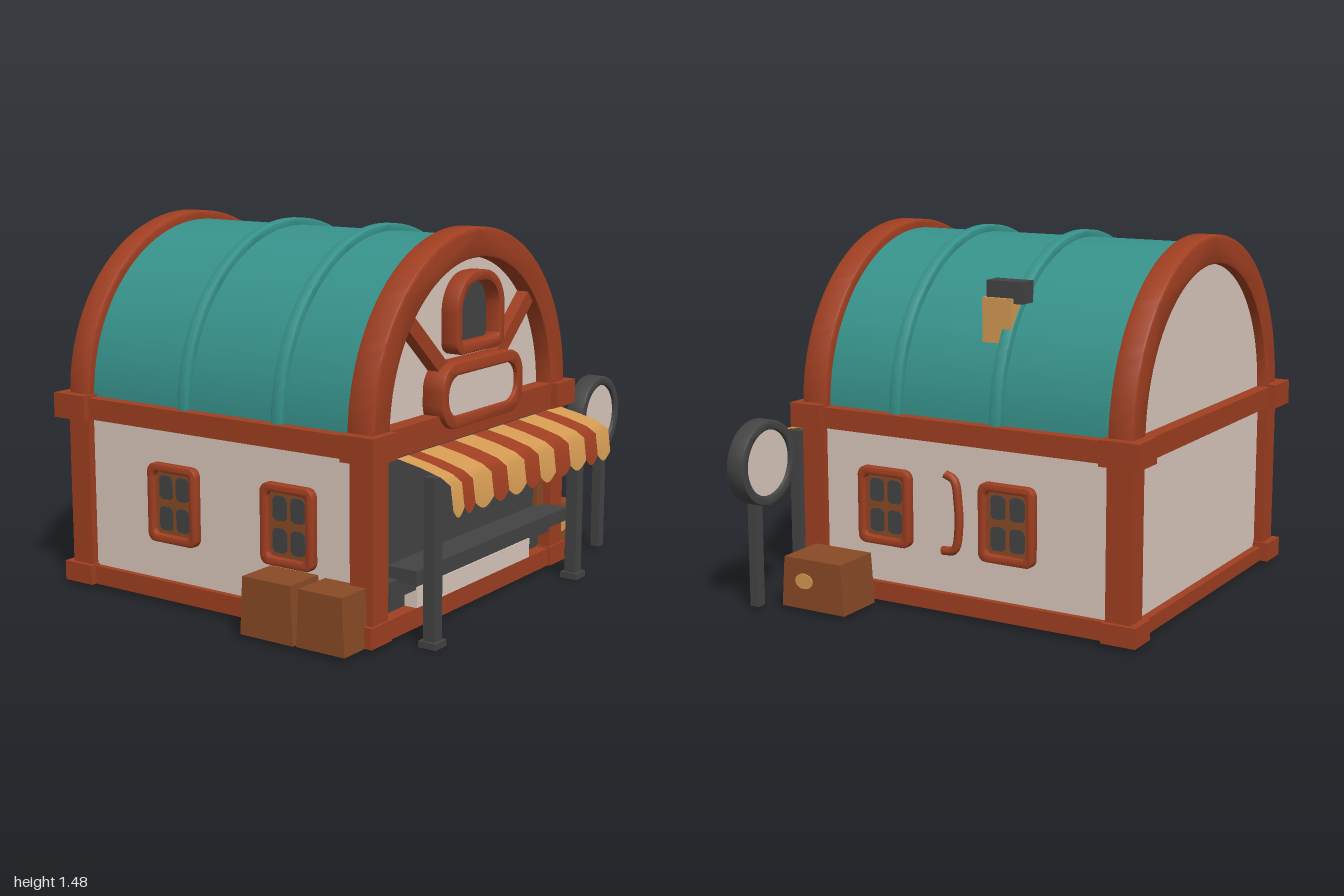
import * as THREE from 'three';
import { toCreasedNormals } from 'three/addons/utils/BufferGeometryUtils.js';

const mat = (name, color, side = THREE.FrontSide) => {
  const m = new THREE.MeshStandardMaterial({ color, side });
  m.name = name;
  return m;
};

export function createModel() {
  const red = mat('red timber', 0xa03f21, THREE.DoubleSide);
  const cream = mat('cream plaster', 0xdcc9be);
  const teal = mat('teal roof', 0x37928b);
  const dark = mat('dark iron', 0x444445);
  const brown = mat('brown crate wood', 0x8a4a26);
  const gold = mat('gold cloth', 0xd59b53, THREE.DoubleSide);

  const root = new THREE.Group();
  root.name = 'shop';
  const CX = -0.15; // centre line of the building
  const SPRING = 0.78; // height where the vault starts

  const add = (name, geo, material, parent = root) => {
    const m = new THREE.Mesh(geo, material);
    m.name = name;
    parent.add(m);
    return m;
  };
  const box = (name, material, x0, x1, y0, y1, z0, z1, parent = root) => {
    const m = add(name, new THREE.BoxGeometry(x1 - x0, y1 - y0, z1 - z0), material, parent);
    m.position.set((x0 + x1) / 2, (y0 + y1) / 2, (z0 + z1) / 2);
    return m;
  };
  const extrude = (shape, depth, bevel = 0) => toCreasedNormals(new THREE.ExtrudeGeometry(shape, {
    depth, curveSegments: 32, bevelEnabled: bevel > 0, bevelSize: bevel,
    bevelThickness: bevel, bevelOffset: -bevel, bevelSegments: 2,
  }), 0.6);
  const rounded = (w, h, r, rTop = r) => {
    const s = new THREE.Shape();
    const x = w / 2, y = h / 2;
    s.moveTo(-x + r, -y);
    s.lineTo(x - r, -y);
    s.absarc(x - r, -y + r, r, -Math.PI / 2, 0);
    s.absarc(x - rTop, y - rTop, rTop, 0, Math.PI / 2);
    s.absarc(-x + rTop, y - rTop, rTop, Math.PI / 2, Math.PI);
    s.absarc(-x + r, -y + r, r, Math.PI, Math.PI * 1.5);
    return s;
  };
  const framed = (outer, inner, depth) => {
    outer.holes.push(new THREE.Path(inner.getPoints(12).reverse()));
    return extrude(outer, depth, 0.008);
  };
  const halfDisc = (r) => {
    const s = new THREE.Shape();
    s.absarc(0, 0, r, 0, Math.PI);
    s.closePath();
    return s;
  };
  const archRing = (r, R) => {
    const s = new THREE.Shape();
    s.absarc(0, 0, R, 0, Math.PI);
    s.absarc(0, 0, r, Math.PI, 0, true);
    s.closePath();
    return s;
  };

  // Body and floor
  box('walls', cream, -0.82, 0.52, 0.03, 0.76, -0.8, 0.575);
  box('floor', red, -0.84, 0.54, 0.015, 0.035, -0.83, 0.63);

  // Barrel vault: plaster gables on the ends, roof on the curve
  const vault = add('vault', extrude(halfDisc(0.665), 1.375), [cream, teal]);
  vault.position.set(CX, SPRING, -0.8);
  const arches = [
    ['backArch', red, 0.585, 0.7, -0.84, 0.105, 0.012],
    ['frontArch', red, 0.585, 0.7, 0.53, 0.115, 0.012],
    ['backRib', teal, 0.64, 0.693, -0.275, 0.05, 0.008],
    ['frontRib', teal, 0.64, 0.693, 0.18, 0.05, 0.008],
  ];
  for (const [name, material, r, R, z, depth, bevel] of arches) {
    const a = add(name, extrude(archRing(r, R), depth - 2 * bevel, bevel), material);
    a.position.set(CX, SPRING, z + bevel);
  }

  // Timber frame: corner posts, feet, band and sill beams
  for (const s of [-1, 1]) {
    const side = s < 0 ? 'right' : 'left';
    const span = (a, b) => (s > 0 ? [CX + a, CX + b] : [CX - b, CX - a]);
    for (const [end, z0, z1] of [['Back', -0.84, -0.735], ['Front', 0.545, 0.645]]) {
      const out = z0 < 0 ? [z0 - 0.045, z1 + 0.015] : [z0 - 0.015, z1 + 0.03];
      box(`${side}${end}Post`, red, ...span(0.6, 0.7), 0.02, 0.72, z0, z1);
      box(`${side}${end}Cap`, red, ...span(0.59, 0.74), 0.695, 0.795, ...out);
      box(`${side}${end}Foot`, red, ...span(0.59, 0.72), 0.015, 0.095, z0 - (z0 < 0 ? 0.03 : 0.01), z1 + 0.01);
    }
    box(`${side}Band`, red, ...span(0.62, 0.715), 0.7, 0.785, -0.8, 0.6);
    box(`${side}Sill`, red, ...span(0.62, 0.695), 0.015, 0.09, -0.8, 0.6);
  }
  box('backBand', red, -0.8, 0.5, 0.7, 0.785, -0.855, -0.75);
  box('backSill', red, -0.8, 0.5, 0.015, 0.075, -0.835, -0.75);
  box('frontBand', red, -0.8, 0.5, 0.69, 0.795, 0.55, 0.645);
  box('frontSill', red, -0.8, 0.5, 0.015, 0.09, 0.55, 0.645);

  // Gable: diagonal struts, arched window and blank sign
  for (const s of [-1, 1]) {
    const strut = box('gableStrut', red, -0.2, 0.2, -0.03, 0.03, 0.57, 0.625);
    strut.position.x = CX + s * 0.345;
    strut.position.y = 1.09;
    strut.rotation.z = s * 0.72;
  }
  const gableWindow = add('gableWindowFrame',
    framed(rounded(0.35, 0.31, 0.05, 0.15), rounded(0.27, 0.23, 0.02, 0.11), 0.06), red);
  gableWindow.position.set(-0.125, 1.16, 0.58);
  add('gableWindowPane', extrude(rounded(0.3, 0.26, 0.03, 0.12), 0.008), dark)
    .position.set(-0.125, 1.16, 0.577);
  add('signFrame', framed(rounded(0.59, 0.25, 0.1), rounded(0.5, 0.155, 0.07), 0.08), red)
    .position.set(-0.13, 0.86, 0.58);
  add('signBoard', extrude(rounded(0.53, 0.19, 0.08), 0.06), cream).position.set(-0.13, 0.86, 0.59);

  // Serving hatch with counter
  box('hatch', dark, -0.75, 0.45, 0.09, 0.69, 0.57, 0.59);
  box('counterBase', dark, -0.73, 0.45, 0.16, 0.23, 0.585, 0.64);
  box('counter', dark, -0.68, 0.46, 0.22, 0.275, 0.585, 0.72);
  box('lowerPanel', cream, -0.56, 0.28, 0.085, 0.17, 0.585, 0.645);
  for (const s of [-1, 1]) box('jamb', brown, CX + s * 0.575 - 0.025, CX + s * 0.575 + 0.025, 0.24, 0.47, 0.58, 0.61);

  // Striped awning with a scalloped valance
  const awning = new THREE.Group();
  awning.name = 'awning';
  root.add(awning);
  const edges = [-0.69, -0.615, -0.54, -0.41, -0.3, -0.17, -0.06, 0.06, 0.18, 0.31, 0.41, 0.52];
  const profile = [[0.64, 0.685], [0.74, 0.665], [0.83, 0.64], [0.87, 0.615], [0.882, 0.525]];
  for (let i = 0; i < 11; i++) {
    const geo = new THREE.PlaneGeometry(1, 1, 8, 4);
    const p = geo.attributes.position;
    for (let k = 0; k < p.count; k++) {
      const u = p.getX(k) + 0.5;
      const row = Math.floor(k / 9);
      const [z, y] = profile[row];
      const drop = row === 4 ? 0.03 * Math.sin(Math.PI * u) : 0;
      p.setXYZ(k, THREE.MathUtils.lerp(edges[i], edges[i + 1], u), y - drop, z);
    }
    geo.computeVertexNormals();
    add('awningStripe', geo, i % 2 ? red : gold, awning);
  }
  for (const x of [-0.67, 0.4]) {
    box('awningPost', dark, x - 0.025, x + 0.025, 0.01, 0.635, 0.76, 0.81);
    box('awningPostFoot', dark, x - 0.037, x + 0.037, 0, 0.025, 0.747, 0.823);
  }

  // Side windows: each built facing +z, then turned outwards
  for (const s of [-1, 1]) {
    for (const z of [0.255, -0.305]) {
      const w = new THREE.Group();
      w.name = 'sideWindow';
      root.add(w);
      add('sideWindowFrame', framed(rounded(0.245, 0.315, 0.035), rounded(0.18, 0.25, 0.02), 0.025), red, w);
      box('sideWindowBack', brown, -0.1, 0.1, -0.135, 0.135, -0.01, 0.008, w);
      for (const px of [-0.042, 0.042]) for (const py of [-0.062, 0.062]) {
        add('pane', extrude(rounded(0.066, 0.095, 0.022), 0.005), dark, w).position.set(px, py, 0.007);
      }
      w.position.set(CX + s * 0.672, 0.405, z);
      w.rotation.y = s * Math.PI / 2;
    }
  }

  // Curved trim on the left wall
  const trim = [[-0.025, 0.57], [-0.065, 0.55], [-0.082, 0.46], [-0.085, 0.36], [-0.065, 0.27], [-0.01, 0.26]]
    .map(([z, y]) => new THREE.Vector3(0.53, y, z));
  add('wallTrim', new THREE.TubeGeometry(new THREE.CatmullRomCurve3(trim), 24, 0.018, 8), red);

  // Chimney
  box('chimney', gold, 0.33, 0.44, 1.08, 1.26, -0.27, -0.14);
  box('chimneyCap', dark, 0.345, 0.425, 1.24, 1.325, -0.31, -0.15);

  // Crates, slightly narrower at the top
  const crate = (name, x0, x1, y1, z0, z1) => {
    const m = box(name, brown, x0, x1, 0.015, y1, z0, z1);
    const p = m.geometry.attributes.position;
    for (let i = 0; i < p.count; i++) if (p.getY(i) > 0) p.setZ(i, p.getZ(i) * 0.9);
    m.geometry.computeVertexNormals();
  };
  crate('leftCrate', 0.585, 0.795, 0.22, 0.28, 0.58);
  crate('rightFrontCrate', -0.995, -0.83, 0.235, 0.41, 0.625);
  crate('rightBackCrate', -1, -0.83, 0.24, 0.155, 0.4);
  const crateMark = (x, y, z, turn) => {
    const m = add('crateMark', new THREE.CylinderGeometry(0.042, 0.042, 0.008, 16).rotateX(Math.PI / 2), gold);
    m.position.set(x, y, z);
    m.rotation.y = turn;
    m.scale.y = 0.75;
  };
  crateMark(0.69, 0.13, 0.574, 0);
  crateMark(0.795, 0.13, 0.47, Math.PI / 2);

  // Round sign on a pole
  const ring = new THREE.Shape();
  ring.absarc(0, 0, 0.17, 0, Math.PI * 2);
  const hole = new THREE.Path();
  hole.absarc(0, 0, 0.132, 0, Math.PI * 2, true);
  ring.holes.push(hole);
  add('roundSignRim', extrude(ring, 0.064, 0.008), dark).position.set(0.825, 0.6, 0.608);
  add('roundSignFace', new THREE.CylinderGeometry(0.14, 0.14, 0.05, 40).rotateX(Math.PI / 2), cream)
    .position.set(0.825, 0.6, 0.64);
  box('roundSignPole', dark, 0.825, 0.867, 0.015, 0.45, 0.645, 0.685);

  return root;
}
